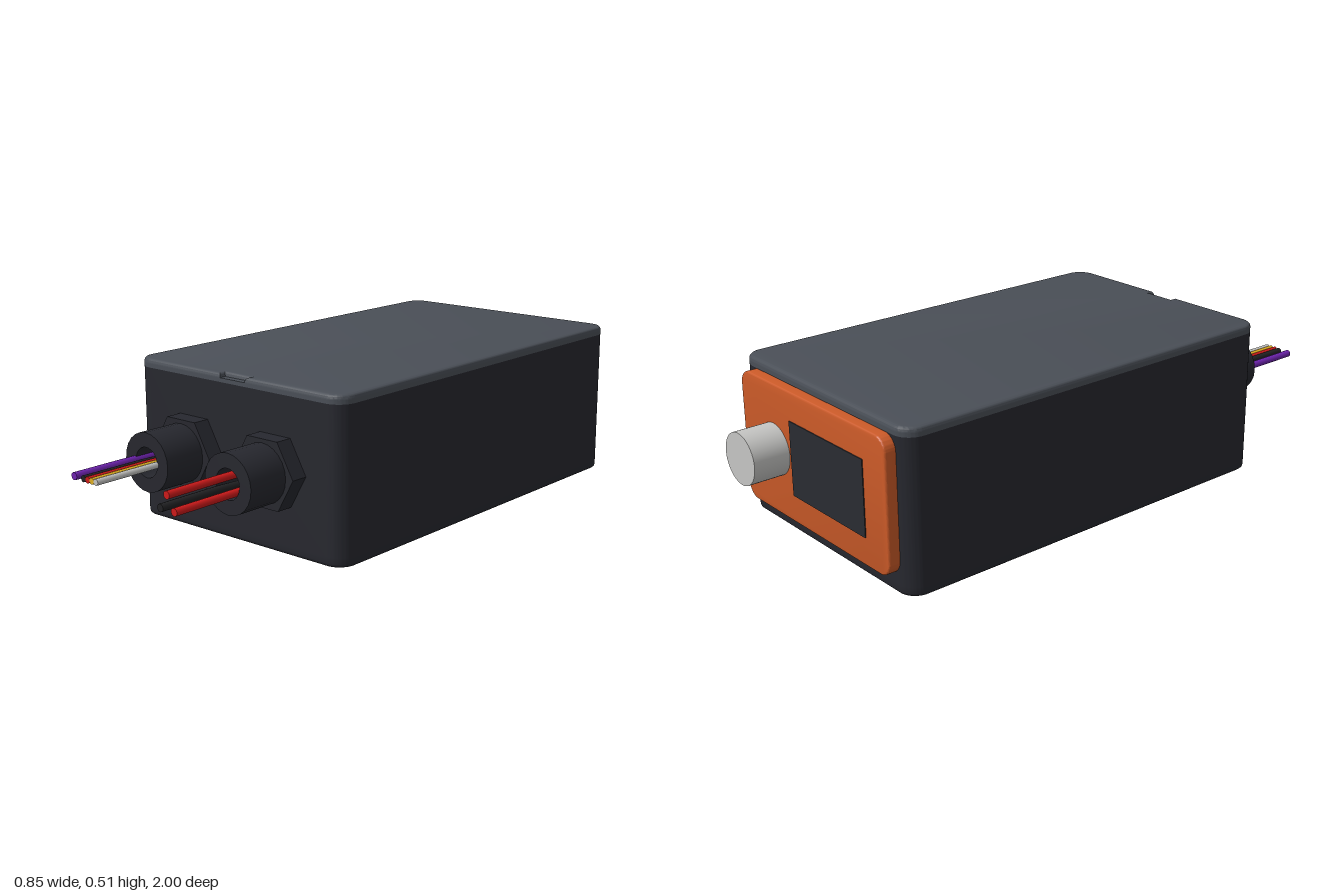
import * as THREE from 'three';
import { toCreasedNormals } from 'three/addons/utils/BufferGeometryUtils.js';

const W = 0.425, ZB = -0.844, ZF = 0.577, R = 0.06, BEVEL = 0.012, CY = 0.255;
const FLOOR = 0.03, SEAM = 0.483, TOP = 0.511, WALL = 0.026;

function material(name, color) {
  const m = new THREE.MeshStandardMaterial({ color });
  m.name = name;
  return m;
}

// Rounded rectangle; an optional notch is cut into the lower edge
function roundedRect(x0, y0, x1, y1, r, notch) {
  const s = new THREE.Shape();
  s.moveTo(x0 + r, y0);
  if (notch) {
    s.lineTo(notch.x0, y0);
    s.lineTo(notch.x0, y0 + notch.d);
    s.lineTo(notch.x1, y0 + notch.d);
    s.lineTo(notch.x1, y0);
  }
  s.lineTo(x1 - r, y0);
  s.absarc(x1 - r, y0 + r, r, -Math.PI / 2, 0);
  s.lineTo(x1, y1 - r);
  s.absarc(x1 - r, y1 - r, r, 0, Math.PI / 2);
  s.lineTo(x0 + r, y1);
  s.absarc(x0 + r, y1 - r, r, Math.PI / 2, Math.PI);
  s.lineTo(x0, y0 + r);
  s.absarc(x0 + r, y0 + r, r, Math.PI, Math.PI * 1.5);
  return s;
}

function polygon(points) {
  return new THREE.Shape(points.map(([x, y]) => new THREE.Vector2(x, y)));
}

function circle(x, y, r) {
  return new THREE.Path().absarc(x, y, r, 0, Math.PI * 2, true);
}

// Extrusion along +z from z0 to z1; only the z1 end is bevelled
function extrude(shape, z0, z1, bevel = 0) {
  let g = new THREE.ExtrudeGeometry(shape, {
    depth: z1 - z0 - bevel, curveSegments: 12, bevelEnabled: bevel > 0,
    bevelThickness: bevel, bevelSize: bevel, bevelOffset: -bevel, bevelSegments: 3,
  });
  const p = g.attributes.position;
  for (let i = 0; i < p.count; i++) {
    if (p.getZ(i) < 1e-6) p.setZ(i, 0);
  }
  g.computeVertexNormals();
  g = toCreasedNormals(g, 0.6);
  return g.translate(0, 0, z0);
}

export function createModel() {
  const model = new THREE.Group();
  model.name = 'controlBox';
  const mat = {
    body: material('charcoal body', 0x27282f),
    lid: material('slate lid', 0x4a4f57),
    black: material('black wire', 0x222224),
    orange: material('orange panel', 0xcb5a28),
    screen: material('dark screen', 0x2a2c32),
    grey: material('light grey', 0xc6c6c4),
    red: material('red wire', 0xcf1a1a),
    yellow: material('yellow wire', 0xdfae20),
    purple: material('purple wire', 0x6f24b0),
    salmon: material('salmon panel lining', 0xd5906c),
  };
  function add(name, geometry, m, parent = model) {
    const mesh = new THREE.Mesh(geometry, m);
    mesh.name = name;
    parent.add(mesh);
  }
  // Plan outlines have y = -z, so a quarter turn lays them flat
  const plan = (notch) => roundedRect(-W, -ZF, W, -ZB, R, notch);
  const lay = (g) => g.rotateX(-Math.PI / 2);

  // Bottom rim with rounded edges, around a recessed floor
  const rim = roundedRect(-W, ZB, W, ZF, R);
  rim.holes.push(roundedRect(-W + WALL, ZB + WALL, W - WALL, ZF - WALL, R - WALL));
  add('bottomRim', extrude(rim, -FLOOR, 0, BEVEL).rotateX(Math.PI / 2), mat.body);
  add('floor', lay(extrude(roundedRect(-W + 0.01, -ZF + 0.01, W - 0.01, -ZB - 0.01, R - 0.01),
    FLOOR, FLOOR + 0.02)), mat.body);
  const label = polygon([[-0.15, 0.03], [-0.24, 0.06], [-0.315, 0.19], [-0.32, 0.285], [-0.12, 0.31]]);
  add('bottomLabel', lay(extrude(label, FLOOR - 0.002, FLOOR + 0.002)), mat.grey);

  // Side walls, with the rounded vertical corners
  const e = W - R;
  const s = new THREE.Shape();
  s.moveTo(e, -ZF);
  s.absarc(e, -ZF + R, R, -Math.PI / 2, 0);
  s.absarc(e, -ZB - R, R, 0, Math.PI / 2);
  s.lineTo(e, -ZB - WALL);
  s.absarc(e, -ZB - R, R - WALL, Math.PI / 2, 0, true);
  s.absarc(e, -ZF + R, R - WALL, 0, -Math.PI / 2, true);
  for (const side of [1, -1]) {
    const g = lay(extrude(s, FLOOR, SEAM));
    if (side < 0) g.rotateZ(Math.PI).translate(0, FLOOR + SEAM, 0);
    add(side > 0 ? 'leftWall' : 'rightWall', g, mat.body);
  }

  // Front wall with two cable holes, back wall with a panel opening
  const wall = () => polygon([[-e, FLOOR], [e, FLOOR], [e, SEAM], [-e, SEAM]]);
  const front = wall();
  front.holes.push(circle(-0.17, CY, 0.047), circle(0.17, CY, 0.047));
  add('frontWall', extrude(front, ZF - WALL, ZF), mat.body);
  const back = wall();
  back.holes.push(roundedRect(-0.33, 0.1, 0.33, 0.44, 0.03));
  add('backWall', extrude(back, ZB, ZB + WALL), mat.body);

  // Lid in two layers; the upper one has the opening notch
  add('lidBase', lay(extrude(plan(), SEAM, 0.496)), mat.lid);
  add('lidTop', lay(extrude(plan({ x0: -0.052, x1: 0.05, d: 0.022 }), 0.496, TOP, BEVEL)), mat.lid);

  // Control panel on the back
  const panel = extrude(roundedRect(-0.375, 0.06, 0.375, 0.482, 0.045), 0.84, 0.88, 0.005);
  add('controlPanel', panel.rotateY(Math.PI), mat.orange);
  add('screen', new THREE.BoxGeometry(0.375, 0.24, 0.008).translate(-0.08, 0.27, -0.879), mat.screen);
  add('knob', new THREE.CylinderGeometry(0.083, 0.083, 0.12, 40).rotateX(Math.PI / 2)
    .translate(0.2, 0.272, -0.94), mat.grey);
  add('panelLining', new THREE.BoxGeometry(0.2, 0.2, 0.008).translate(0.18, CY, -0.836), mat.salmon);

  // Cable glands: hexagonal nut and round collar, both bored through
  for (const [name, x] of [['left', 0.17], ['right', -0.17]]) {
    const gland = new THREE.Group();
    gland.name = name + 'CableGland';
    gland.position.set(x, CY, 0);
    model.add(gland);
    const hex = polygon([0, 1, 2, 3, 4, 5].map((i) => i * Math.PI / 3)
      .map((a) => [0.12 * Math.cos(a), 0.12 * Math.sin(a)]));
    const ring = new THREE.Shape().absarc(0, 0, 0.092, 0, Math.PI * 2);
    for (const outline of [hex, ring]) outline.holes.push(circle(0, 0, 0.047));
    add('hexNut', extrude(hex, ZF, 0.632), mat.body, gland);
    add('collar', extrude(ring, 0.632, 0.772), mat.body, gland);
  }

  // Wires: straight outside, bending to an offset inside the box
  const wires = [
    ['purpleWire', mat.purple, -0.222, CY, 0.012, 0, 0],
    ['signalBlackWire', mat.black, -0.181, CY, 0.01, 0, 0.034],
    ['signalRedWire', mat.red, -0.163, CY, 0.01, 0.003, 0.036],
    ['yellowWire', mat.yellow, -0.145, CY, 0.01, 0, 0.034],
    ['whiteWire', mat.grey, -0.127, CY, 0.01, 0, 0],
    ['powerBlackWire', mat.black, 0.142, 0.236, 0.012, -0.006, 0.05],
    ['powerRedWireUpper', mat.red, 0.169, 0.278, 0.012, -0.006, 0.02],
    ['powerRedWireLower', mat.red, 0.197, 0.235, 0.012, -0.05, -0.025],
  ];
  for (const [name, m, x, y, r, dx, dy] of wires) {
    const path = new THREE.CatmullRomCurve3([
      [x, y, 1], [x, y, 0.8], [x, y, 0.56], [x + dx, y + dy, 0.4], [x + dx, y + dy, 0.2],
    ].map((p) => new THREE.Vector3(...p)));
    add(name, new THREE.TubeGeometry(path, 32, r, 12), m);
    add(name + 'Tip', new THREE.CircleGeometry(r, 12).translate(x, y, 1), m);
  }
  return model;
}
